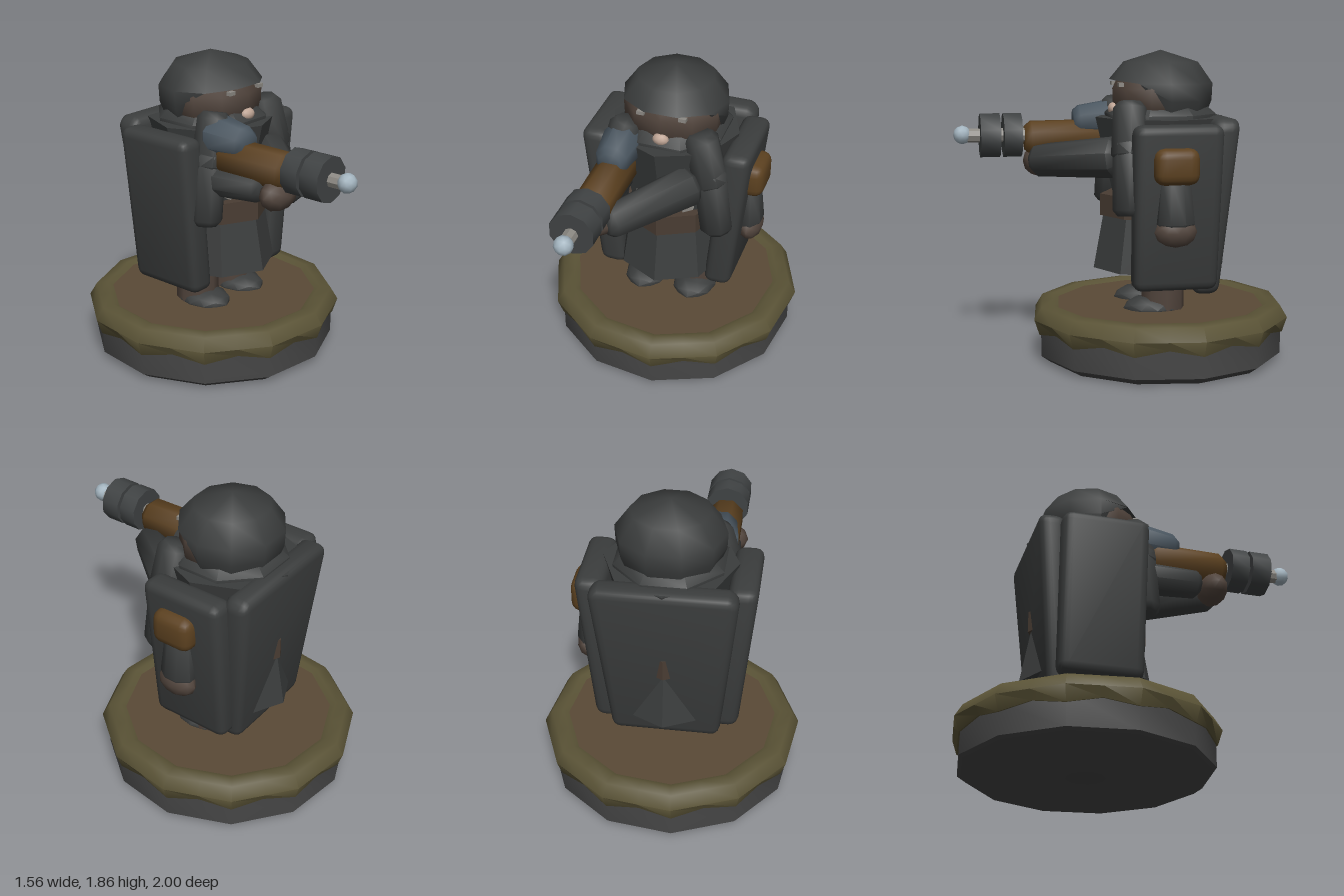
import * as THREE from 'three';
import { toCreasedNormals } from 'three/addons/utils/BufferGeometryUtils.js';
import { RoundedBoxGeometry } from 'three/addons/geometries/RoundedBoxGeometry.js';

const C = {
  cloth: 0x3b3d3d, skin: 0x51443c, leather: 0x5c4120, belt: 0x4a3d33, stone: 0x464646, moss: 0x5a5336,
  earth: 0x5a4a36, steel: 0x4a5660, bright: 0xa3b4bf, iron: 0x404344, nose: 0xbfa595, pale: 0x8d8a84,
};

export function createModel() {
  const model = new THREE.Group();
  const V = (p) => new THREE.Vector3(...p);

  const add = (name, geo, color, pos = [0, 0, 0], crease = 0.75) => {
    const mat = new THREE.MeshStandardMaterial({ color, side: THREE.DoubleSide });
    const mesh = new THREE.Mesh(toCreasedNormals(geo, crease), mat);
    mesh.name = name;
    mesh.position.set(...pos);
    model.add(mesh);
    return mesh;
  };

  // Move every vertex by a rule
  const warp = (geo, rule) => {
    const p = geo.attributes.position, v = new THREE.Vector3();
    for (let i = 0; i < p.count; i++) {
      rule(v.fromBufferAttribute(p, i));
      p.setXYZ(i, v.x, v.y, v.z);
    }
    return geo;
  };

  // Profile listed from bottom to top
  const lathe = (pts, sides, phase = 0) =>
    new THREE.LatheGeometry(pts.map(([r, y]) => new THREE.Vector2(r, y)), sides, phase);

  // Rounded, tapering limb from a to b
  const limb = (name, a, b, ra, rb, color, sides = 8) => {
    const dir = V(b).sub(V(a)), L = dir.length();
    const geo = lathe([[0, 0], [ra * 0.7, 0], [ra, ra * 0.35], [rb, L - rb * 0.35], [rb * 0.7, L], [0, L]], sides, Math.PI / sides);
    const m = add(name, geo, color, a, 1);
    m.quaternion.setFromUnitVectors(new THREE.Vector3(0, 1, 0), dir.normalize());
    return m;
  };

  const blob = (name, pos, size, color, detail = 1) =>
    add(name, new THREE.IcosahedronGeometry(1, detail).scale(...size), color, pos, 0.9);

  // Round stand: plinth, mossy rim with a wavy lower edge, earth top
  const phase = Math.PI / 24, Z = -0.22;
  add('plinth', lathe([[0, 0], [0.69, 0], [0.745, 0.04], [0.745, 0.22], [0, 0.22]], 12, phase), C.stone, [0, 0, Z]);
  const rim = lathe([[0.7, 0.18], [0.755, 0.17], [0.785, 0.26], [0.74, 0.335], [0.67, 0.345], [0.61, 0.31]], 24, phase);
  warp(rim, (v) => {
    const step = Math.round((Math.atan2(v.x, v.z) - phase) / (Math.PI / 12));
    if (Math.abs(step % 2) === 1) {
      v.x *= Math.cos(Math.PI / 12);
      v.z *= Math.cos(Math.PI / 12);
      if (v.y < 0.2) v.y += 0.035;
    }
  });
  add('mossRim', rim, C.moss, [0, 0, Z], 1);
  add('earthTop', new THREE.CylinderGeometry(0.65, 0.65, 0.12, 12).rotateY(phase), C.earth, [0, 0.265, Z]);

  // Legs and feet
  for (const s of [-1, 1]) {
    add('leg', new THREE.CylinderGeometry(0.13, 0.13, 0.35, 8), C.skin, [s * 0.155, 0.47, -0.21], 1);
    blob('foot', [s * 0.16, 0.33, -0.15], [0.135, 0.075, 0.18], C.cloth);
  }

  // Skirt, belt and torso: eight-sided sections
  const section = (name, rTop, rBottom, y0, y1, depth, color) =>
    add(name, new THREE.CylinderGeometry(rTop, rBottom, y1 - y0, 8).scale(1, 1, depth), color, [0, (y0 + y1) / 2, Z], 0.6);
  section('skirt', 0.29, 0.345, 0.55, 0.9, 1.17, C.cloth);
  section('belt', 0.3, 0.3, 0.87, 1.0, 1.21, C.belt);
  section('torso', 0.39, 0.28, 0.98, 1.46, 1.0, C.cloth);
  add('collar', lathe([[0.2, 1.4], [0.33, 1.42], [0.34, 1.48], [0.28, 1.53], [0.2, 1.5]], 8, Math.PI / 8), C.cloth, [0, 0, Z], 1);
  for (const s of [-1, 1]) add('collarTip', new THREE.BoxGeometry(0.07, 0.06, 0.03), C.pale, [s * 0.15, 1.05, 0.03]).rotation.z = s * 0.5;

  // Cloak: two side panels and a back panel, leaning outward to the top
  for (const s of [-1, 1]) {
    const side = warp(new RoundedBoxGeometry(0.17, 0.97, 0.51, 2, 0.055), (v) => {
      v.x += s * v.y * 0.1;
      v.z *= 1 + v.y * 0.05;
    });
    add('cloakSide', side, C.cloth, [s * 0.385, 0.955, -0.235], 1);
  }
  const back = warp(new RoundedBoxGeometry(0.74, 1.08, 0.16, 2, 0.055), (v) => {
    v.x *= 1 + v.y * 0.26;
    v.z -= v.y * 0.09;
    if (v.y > 0.4) v.y -= Math.max(0, Math.abs(v.x) - 0.28) * 0.4;
  });
  add('cloakBack', back, C.cloth, [0, 0.96, -0.49], 1);

  // Head with hair cap whose edge lifts over the face
  add('face', lathe([[0, 1.4], [0.22, 1.42], [0.295, 1.52], [0.3, 1.63], [0.24, 1.74], [0, 1.78]], 10).scale(1, 1, 0.86), C.skin, [0, 0, -0.19], 1);
  const hair = lathe([[0.28, 1.47], [0.315, 1.56], [0.32, 1.66], [0.23, 1.785], [0, 1.855]], 10, Math.PI / 10);
  warp(hair, (v) => {
    const front = v.z / Math.max(0.01, Math.hypot(v.x, v.z));
    v.y = Math.max(v.y, 1.47 + 0.21 * THREE.MathUtils.smoothstep(front, 0, 0.7));
    v.z *= 0.97;
  });
  add('hair', hair, C.cloth, [0, 0, -0.225], 1);
  for (const s of [-1, 1]) add('eye', new THREE.BoxGeometry(0.045, 0.022, 0.03), C.pale, [s * 0.125, 1.655, 0.04]);
  blob('nose', [0, 1.51, 0.06], [0.05, 0.038, 0.035], C.nose);
  blob('beard', [0, 1.42, 0.0], [0.13, 0.06, 0.07], C.cloth);

  // Hanging upper sleeves, mirrored
  for (const s of [-1, 1]) {
    limb('upperSleeve', [s * 0.22, 1.56, 0.0], [s * 0.3, 1.22, 0.02], 0.1, 0.11, C.cloth);
    limb('lowerSleeve', [s * 0.28, 1.36, 0.01], [s * 0.345, 0.91, 0.03], 0.105, 0.1, C.cloth);
  }

  // Supporting forearm crossing the chest and its hand
  limb('supportForearm', [0.2, 1.24, 0.05], [-0.17, 1.19, 0.52], 0.125, 0.1, C.cloth);
  blob('supportHand', [-0.25, 1.18, 0.49], [0.13, 0.095, 0.09], C.skin);
  limb('gripForearm', [-0.28, 1.18, 0.0], [-0.26, 1.2, 0.4], 0.1, 0.09, C.cloth);

  // Long gun on the right shoulder, pointing forward
  const gx = -0.235, gy = 1.34;
  limb('gunBreech', [gx, 1.43, -0.02], [gx, 1.42, 0.27], 0.13, 0.1, C.steel);
  limb('gunStock', [gx, 1.32, 0.08], [gx, 1.32, 0.57], 0.115, 0.11, C.leather);
  const ring = (name, r, z0, z1, color, sides) =>
    add(name, new THREE.CylinderGeometry(r, r, z1 - z0, sides).rotateX(Math.PI / 2), color, [gx, gy, (z0 + z1) / 2]);
  ring('gunBarrel', 0.042, 0.5, 0.92, C.pale, 8);
  ring('gunCollar', 0.133, 0.59, 0.7, C.iron, 10);
  ring('gunCollar', 0.133, 0.72, 0.84, C.iron, 10);
  blob('gunTip', [gx, gy + 0.005, 0.945], [0.057, 0.057, 0.055], C.bright);

  // Spare arm slung on the left cloak panel
  add('slungShoulder', new RoundedBoxGeometry(0.16, 0.21, 0.26, 2, 0.06), C.leather, [0.495, 1.21, -0.21], 1);
  limb('slungSleeve', [0.47, 1.16, -0.21], [0.48, 0.84, -0.21], 0.09, 0.115, C.cloth).scale.x = 0.75;
  blob('slungHand', [0.49, 0.835, -0.21], [0.075, 0.09, 0.125], C.skin);

  return model;
}
